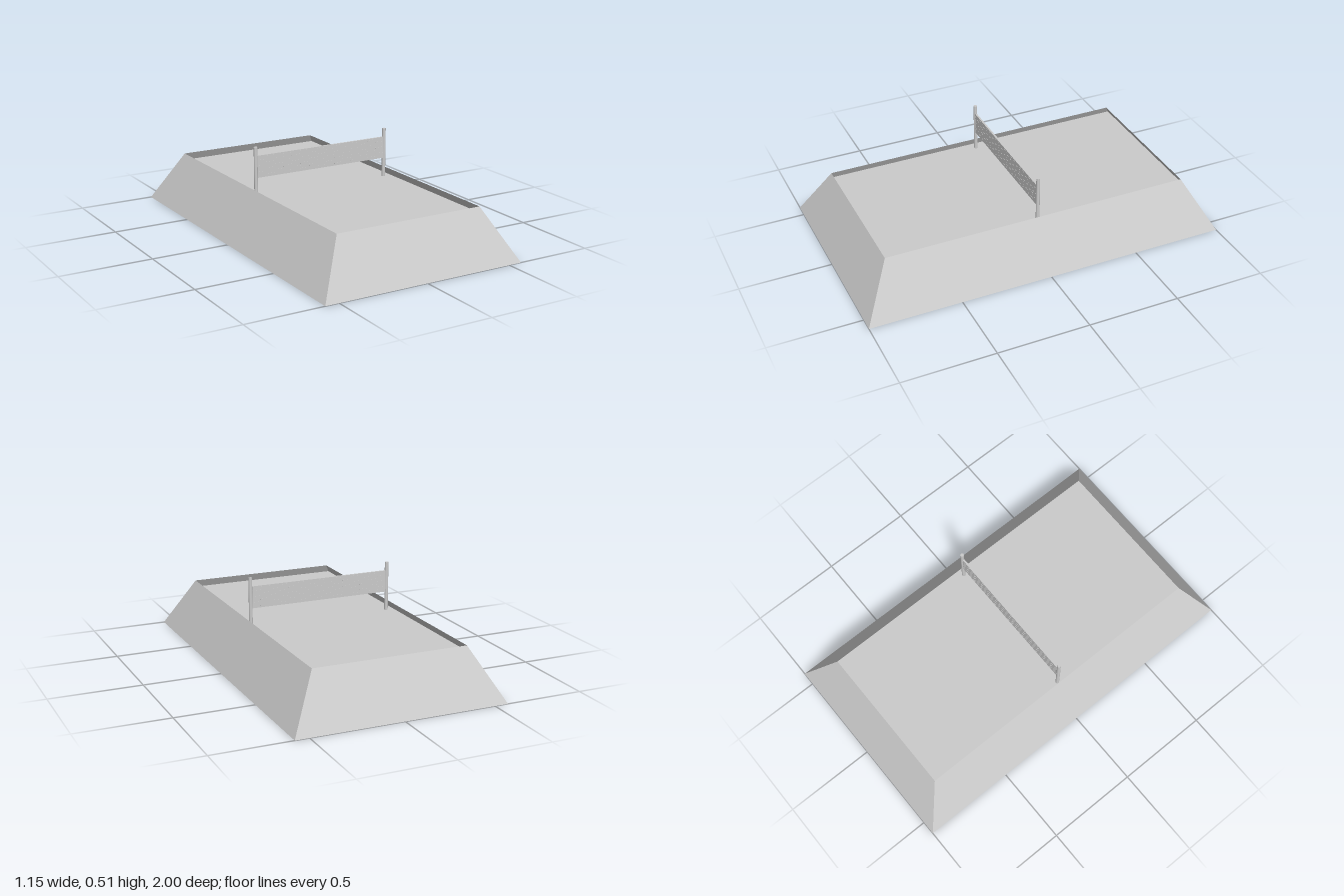
import * as THREE from 'three';

const material = new THREE.MeshStandardMaterial({ color: 0xcccccc });
const thinMaterial = new THREE.MeshStandardMaterial({
  color: 0xcccccc, side: THREE.DoubleSide, flatShading: true,
});

const HEIGHT = 0.28, FLOOR_Y = 0.235, BASE_X = 0.575, BASE_Z = 1, INSET = 0.155;

function addMesh(parent, name, geometry, x = 0, y = 0, z = 0, mat = material) {
  const mesh = new THREE.Mesh(geometry, mat);
  mesh.name = name;
  mesh.position.set(x, y, z);
  parent.add(mesh);
  return mesh;
}

// Corner loop of the sloping base at height y, counter-clockwise from above
function ring(y) {
  const inset = (INSET * y) / HEIGHT, x = BASE_X - inset, z = BASE_Z - inset;
  return [[x, y, z], [x, y, -z], [-x, y, -z], [-x, y, z]];
}

// Four thin sloping walls, open at top and bottom
function wallGeometry() {
  const low = ring(0), high = ring(HEIGHT), points = [];
  for (let i = 0; i < 4; i++) {
    const j = (i + 1) % 4;
    points.push(low[i], low[j], high[j], low[i], high[j], high[i]);
  }
  const geometry = new THREE.BufferGeometry();
  geometry.setAttribute('position', new THREE.Float32BufferAttribute(points.flat(), 3));
  geometry.computeVertexNormals();
  return geometry;
}

// Round-ended bar between two x positions, centred on y = 0
function slatGeometry(x0, x1, height, depth) {
  const r = height / 2, shape = new THREE.Shape();
  shape.absarc(x1 - r, 0, r, -Math.PI / 2, Math.PI / 2);
  shape.absarc(x0 + r, 0, r, Math.PI / 2, Math.PI * 1.5);
  shape.closePath();
  const geometry = new THREE.ExtrudeGeometry(shape, { depth, bevelEnabled: false, curveSegments: 5 });
  return geometry.translate(0, 0, -depth / 2);
}

export function createModel() {
  const model = new THREE.Group();
  model.name = 'netCourt';

  // Base and recessed floor
  addMesh(model, 'slopedWalls', wallGeometry(), 0, 0, 0, thinMaterial);
  const [cornerX, , cornerZ] = ring(FLOOR_Y)[0];
  const floor = new THREE.PlaneGeometry(cornerX * 2, cornerZ * 2).rotateX(-Math.PI / 2);
  addMesh(model, 'floor', floor, 0, FLOOR_Y, 0, thinMaterial);

  // Posts
  const postTop = 0.507;
  for (const side of [1, -1]) {
    const post = new THREE.CylinderGeometry(0.01, 0.01, postTop - FLOOR_Y, 12);
    addMesh(model, side > 0 ? 'leftPost' : 'rightPost', post, side * 0.4, (postTop + FLOOR_Y) / 2);
  }

  // Net panel with staggered rows of round-ended slats
  const net = new THREE.Group();
  net.name = 'net';
  model.add(net);
  const halfNet = 0.392, pitch = 0.1055, slat = 0.058;
  addMesh(net, 'netPanel', new THREE.BoxGeometry(halfNet * 2, 0.12, 0.01), 0, 0.4, 0);
  for (let row = 0; row < 7; row++) {
    const count = row % 2 ? 8 : 7;
    for (let i = 0; i < count; i++) {
      const x = (i - (count - 1) / 2) * pitch;
      const x0 = Math.max(x - slat / 2, -halfNet), x1 = Math.min(x + slat / 2, halfNet);
      addMesh(net, 'netSlat', slatGeometry(x0, x1, 0.009, 0.012), 0, 0.448 - row * 0.016, 0);
    }
  }
  return model;
}
